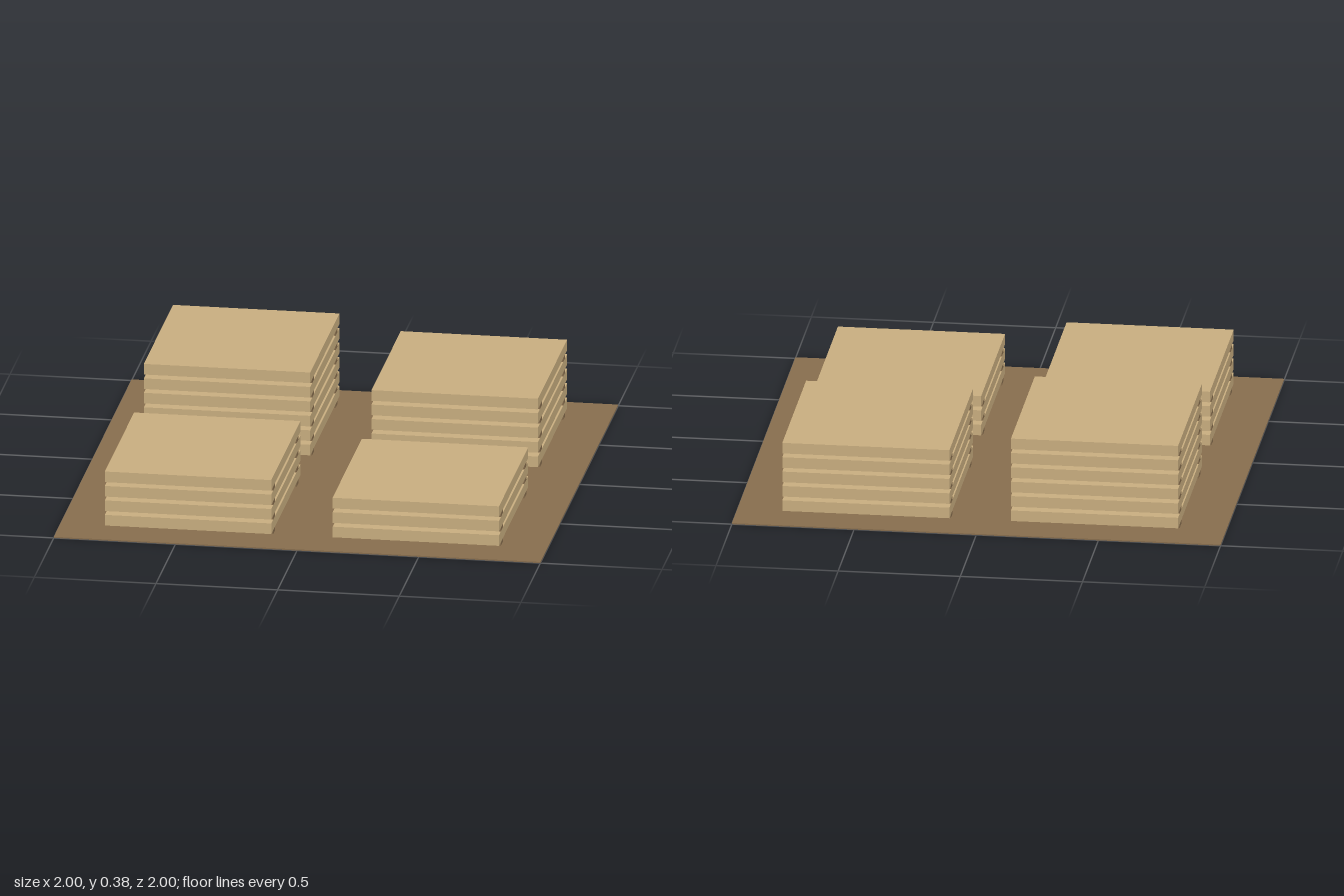
import * as THREE from 'three';

const BASE = 0.005;    // ground sheet thickness
const BEARER = 0.0165; // height of the spacer strips
const SLAB = 0.0455;   // board thickness
const WIDTH = 0.684;   // stack size in x
const DEPTH = 0.75;    // stack size in z

export function createModel() {
  const model = new THREE.Group();
  model.name = 'timberYard';

  const paleWood = new THREE.MeshStandardMaterial({ color: 0xc8ad7f });
  paleWood.name = 'paleWood';
  const darkWood = new THREE.MeshStandardMaterial({ color: 0x876d4d });
  darkWood.name = 'darkWood';

  const box = (parent, name, material, w, h, d, x, bottom, z) => {
    const mesh = new THREE.Mesh(new THREE.BoxGeometry(w, h, d), material);
    mesh.name = name;
    mesh.position.set(x, bottom + h / 2, z);
    parent.add(mesh);
  };

  // Thin square base
  box(model, 'base', darkWood, 2, BASE, 2, 0, 0, 0);

  // Stack of boards, each resting on two bearers that run along x
  const addStack = (name, x, z, layers) => {
    const stack = new THREE.Group();
    stack.name = name;
    stack.position.set(x, BASE, z);
    for (let i = 0; i < layers; i++) {
      const y = i * (BEARER + SLAB);
      for (const side of [-1, 1]) {
        box(stack, 'bearer', darkWood, WIDTH, BEARER, 0.05, 0, y, side * 0.3);
      }
      box(stack, 'board', paleWood, WIDTH, SLAB, DEPTH, 0, y + BEARER, 0);
    }
    model.add(stack);
  };

  // Four stacks of rising height
  addStack('frontLeftStack', 0.468, 0.5, 3);
  addStack('frontRightStack', -0.468, 0.5, 4);
  addStack('backLeftStack', 0.468, -0.5, 5);
  addStack('backRightStack', -0.468, -0.5, 6);

  return model;
}
